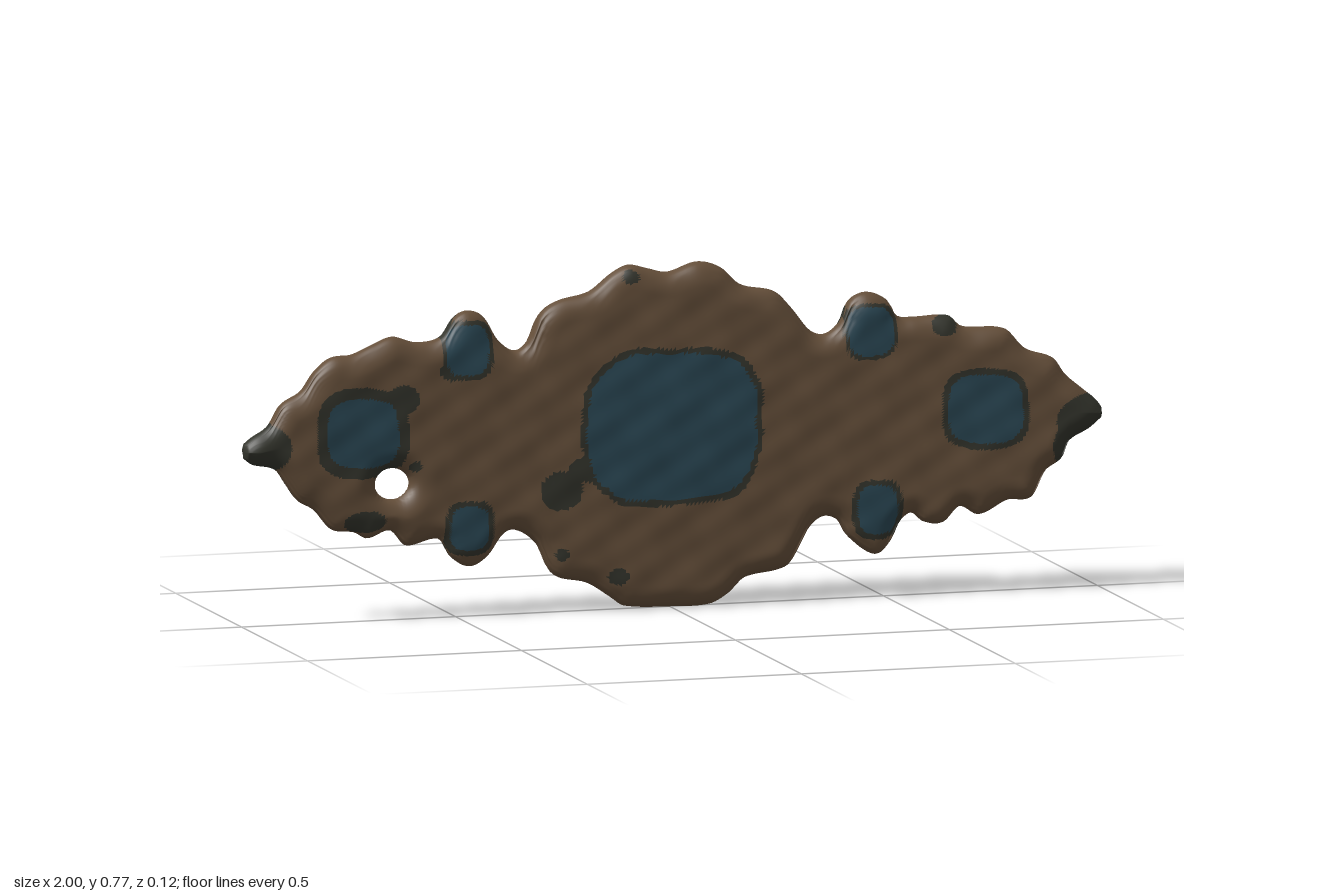
import * as THREE from 'three';

// Scalloped edge, as x, y pairs from tip to tip
const TOP = [-1, .415, -.98, .43, -.94, .455, -.91, .50, -.86, .53, -.83, .57, -.79, .60, -.74, .605, -.69, .625,
  -.645, .64, -.59, .625, -.53, .635, -.50, .675, -.47, .69, -.43, .675, -.40, .625, -.36, .595, -.325, .615,
  -.30, .67, -.26, .70, -.18, .72, -.125, .76, -.09, .775, -.045, .765, 0, .755, .07, .775, .125, .76, .17, .72,
  .25, .70, .29, .66, .33, .61, .365, .60, .40, .625, .42, .67, .46, .69, .51, .67, .53, .635, .57, .63, .65, .63,
  .68, .605, .78, .595, .825, .55, .89, .525, .915, .49, .955, .455, .985, .43, 1, .41];
const BOTTOM = [-1, .385, -.98, .37, -.925, .355, -.90, .32, -.875, .285, -.835, .26, -.795, .215, -.74, .205,
  -.71, .19, -.655, .205, -.62, .17, -.54, .18, -.515, .14, -.47, .115, -.43, .135, -.39, .185, -.355, .19,
  -.31, .155, -.285, .10, -.26, .08, -.195, .065, -.14, .03, -.11, .01, 0, .003, .09, .005, .13, .025, .17, .06,
  .265, .08, .29, .11, .32, .165, .355, .19, .39, .18, .41, .145, .475, .10, .51, .13, .53, .17, .56, .19,
  .585, .17, .63, .165, .67, .20, .715, .18, .78, .21, .835, .215, .865, .27, .905, .30, .92, .335, .97, .365, 1, .39];

// Inlaid stones: x, y, half width, half height, front rim, back rim
const STONES = [
  [0, .412, .197, .165, .013, .045],
  [-.725, .43, .085, .077, .025, .05],
  [.725, .42, .087, .077, .014, .04],
  [-.475, .605, .05, .057, .01, .03],
  [.465, .605, .053, .055, .008, .025],
  [-.475, .205, .046, .05, .012, .03],
  [.475, .205, .046, .055, .012, .03],
];
// Dark stains: x, y, half width, half height, side (1 front, -1 back, 0 both)
const STAINS = [
  [-.97, .405, .075, .06, 0], [.97, .385, .085, .06, 0], [.91, .33, .03, .05, 0],
  [-.26, .28, .05, .045, 0], [-.2, .325, .045, .03, 0], [.635, .61, .03, .022, 0],
  [-.72, .23, .05, .025, 0], [-.6, .35, .014, .012, 1], [-.13, .08, .025, .02, 1],
  [-.26, .135, .014, .014, 1], [-.09, .75, .02, .016, 1], [-.63, .5, .04, .035, 1],
  [-.5, .56, .04, .022, 1], [.83, .27, .07, .04, -1], [.69, .2, .07, .025, -1],
  [.33, .16, .03, .025, -1], [-.86, .33, .05, .08, -1],
];
const HOLE = { x: -.65, y: .31, rx: .04, ry: .035 };
const COLS = 260, ROWS = 100;

// Smooth curve through x, y pairs
function edgeAt(p, x) {
  const n = p.length / 2;
  let k = 0;
  while (k < n - 2 && p[2 * k + 2] < x) k++;
  const slope = (i) => {
    const a = Math.max(i - 1, 0), b = Math.min(i + 1, n - 1);
    return (p[2 * b + 1] - p[2 * a + 1]) / (p[2 * b] - p[2 * a]);
  };
  const h = p[2 * k + 2] - p[2 * k], t = (x - p[2 * k]) / h, t2 = t * t, t3 = t2 * t;
  return (2 * t3 - 3 * t2 + 1) * p[2 * k + 1] + (t3 - 2 * t2 + t) * h * slope(k)
    + (3 * t2 - 2 * t3) * p[2 * k + 3] + (t3 - t2) * h * slope(k + 1);
}

const holeRadius = (x, y) => Math.hypot((x - HOLE.x) / HOLE.rx, (y - HOLE.y) / HOLE.ry);

// Gentle bow with a slight tilt
const middle = (x, y) => .008 - .043 * y + .03 * x * x + .01 * x;

// Hammered, uneven surface
const bumps = (x, y, s) => .0016 * Math.sin(31 * x + 9 * y + s) * Math.sin(37 * y - 8 * x + 2 * s)
  + .0012 * Math.sin(67 * x - 23 * y + 3 * s) * Math.cos(59 * y + 19 * x);

// Which part a surface point belongs to
function partAt(x, y, side) {
  const wob = 1 + .05 * Math.sin(26 * x + 17 * y) + .03 * Math.sin(61 * y - 43 * x);
  const power = side > 0 ? 3 : 2.2;
  const inside = (cx, cy, rx, ry, n) =>
    Math.abs((x - cx) / rx) ** n + Math.abs((y - cy) / ry) ** n < wob;
  let part = 'plate';
  for (const [cx, cy, rx, ry, rimF, rimB] of STONES) {
    const k = side > 0 ? 1 : .82, rim = side > 0 ? rimF : rimB;
    if (inside(cx, cy, rx * k, ry * k, power)) return 'stoneInlays';
    if (inside(cx, cy, rx * k + rim, ry * k + rim, power)) part = 'darkRims';
  }
  for (const [cx, cy, rx, ry, s] of STAINS)
    if (s !== -side && inside(cx, cy, rx, ry, 2)) part = 'darkRims';
  return part;
}

export function createModel() {
  // Columns follow x; rows run from the lower edge to the upper edge
  const columns = [], rim = [];
  for (let i = 0; i <= COLS; i++) {
    const s = 2 * i / COLS - 1;
    const x = .6 * s + .4 * Math.sin(s * Math.PI / 2);
    const lo = edgeAt(BOTTOM, x), hi = edgeAt(TOP, x);
    columns.push({ x, lo, hi });
    rim.push([x, lo], [x, hi]);
  }

  const count = (COLS + 1) * (ROWS + 1);
  const pos = new Float32Array(count * 6);
  const inHole = [], shared = [];
  for (let i = 0; i <= COLS; i++) for (let j = 0; j <= ROWS; j++) {
    const id = i * (ROWS + 1) + j, c = columns[i], t = j / ROWS;
    const v = .5 * t + .25 * (1 - Math.cos(Math.PI * t));
    let x = c.x, y = c.lo + (c.hi - c.lo) * v;
    const r = holeRadius(x, y);
    inHole[id] = r < 1;
    if (r < 1) { // pull points inside the hole out to its edge
      const k = 1 / Math.max(r, .001);
      x = HOLE.x + (x - HOLE.x) * k;
      y = HOLE.y + (y - HOLE.y) * k;
    }
    shared[id] = r < 1 || i === 0 || i === COLS || j === 0 || j === ROWS;
    let d = (holeRadius(x, y) - 1) * HOLE.ry;
    if (shared[id]) d = 0;
    else for (const p of rim) d = Math.min(d, Math.hypot(p[0] - x, p[1] - y));
    // Rounded edge, a little thicker toward the centre
    const e = 1 - Math.min(d / .05, 1);
    const round = Math.sqrt(Math.max(0, 1 - e * e));
    const half = .032 + .008 * Math.exp(-(x * x + (y - .4) ** 2) / .06);
    const z = middle(x, y);
    pos.set([x, y, z + round * (half + bumps(x, y, 0))], id * 3);
    pos.set([x, y, z - round * (half + bumps(x, y, 2))], (count + id) * 3);
  }

  // Faces, sorted by part; both sides meet at the rim and the hole
  const faces = { plate: [], darkRims: [], stoneInlays: [] };
  const addFace = (a, b, c, side) => {
    if (inHole[a] && inHole[b] && inHole[c]) return;
    const mean = (k) => (pos[a * 3 + k] + pos[b * 3 + k] + pos[c * 3 + k]) / 3;
    const list = faces[partAt(mean(0), mean(1), side)];
    const back = (n) => (shared[n] ? n : n + count);
    if (side > 0) list.push(a, b, c);
    else list.push(back(a), back(c), back(b));
  };
  for (const side of [1, -1])
    for (let i = 0; i < COLS; i++) for (let j = 0; j < ROWS; j++) {
      const a = i * (ROWS + 1) + j, b = a + ROWS + 1;
      addFace(a, b, b + 1, side);
      addFace(a, b + 1, a + 1, side);
    }

  // Normals come from the whole surface so parts blend smoothly
  const whole = new THREE.BufferGeometry();
  whole.setAttribute('position', new THREE.BufferAttribute(pos, 3));
  whole.setIndex([...faces.plate, ...faces.darkRims, ...faces.stoneInlays]);
  whole.computeVertexNormals();

  const colours = {
    plate: ['brownMetal', 0x654f3a],
    darkRims: ['darkPatina', 0x33342c],
    stoneInlays: ['blueStone', 0x2a4754],
  };
  const group = new THREE.Group();
  group.name = 'ornamentalPlaque';
  for (const [name, [label, color]] of Object.entries(colours)) {
    whole.setIndex(faces[name]);
    const material = new THREE.MeshStandardMaterial({ color });
    material.name = label;
    const mesh = new THREE.Mesh(whole.toNonIndexed(), material);
    mesh.name = name;
    group.add(mesh);
  }
  return group;
}
